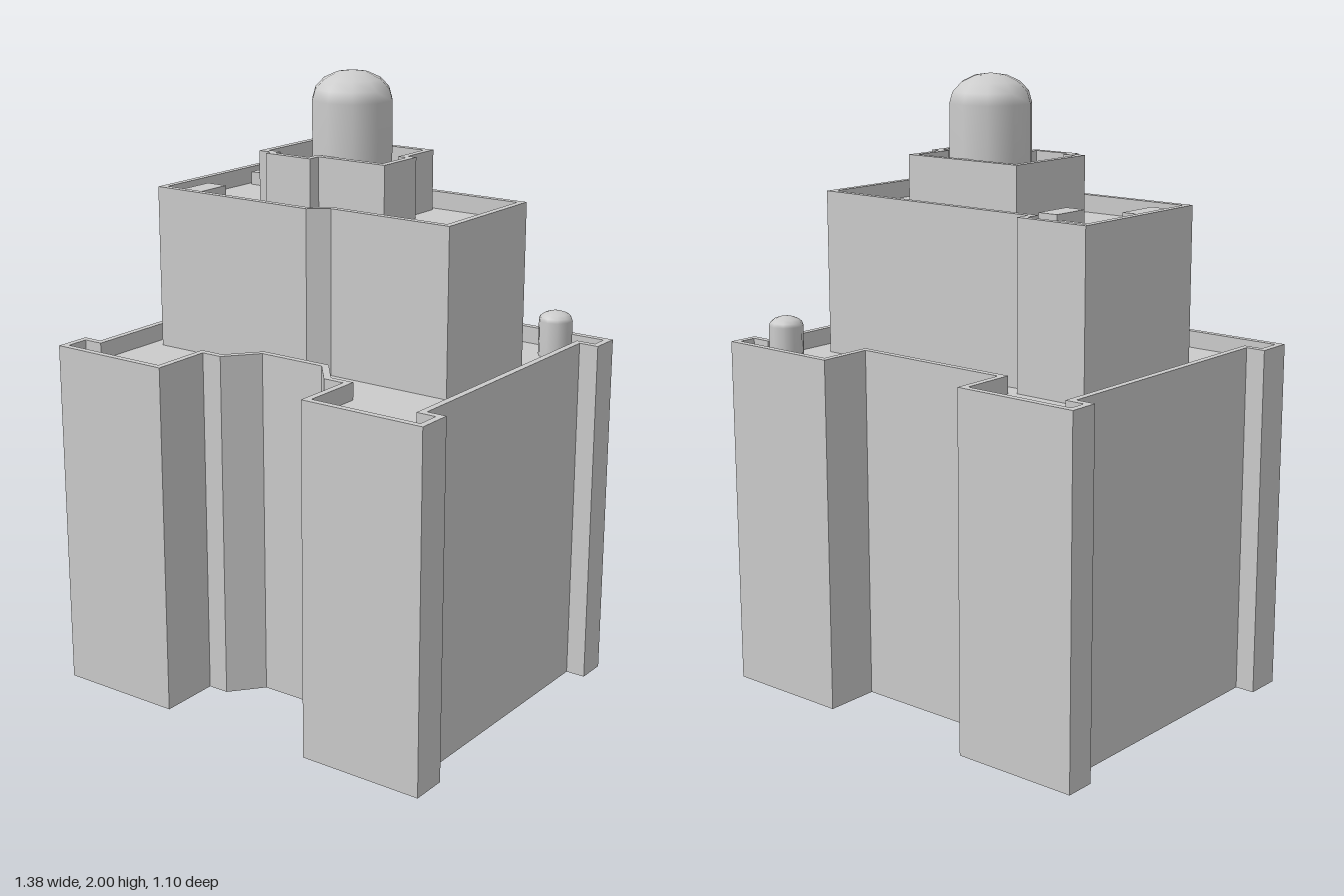
import * as THREE from 'three';

const grey = new THREE.MeshStandardMaterial({ color: 0xcccccc, side: THREE.DoubleSide });
const LIP = 0.022;      // parapet width
const RECESS = 0.055;   // roof depth below the parapet

function add(parent, name, geometry, x = 0, y = 0, z = 0) {
  const mesh = new THREE.Mesh(geometry, grey);
  mesh.name = name;
  mesh.position.set(x, y, z);
  parent.add(mesh);
  return mesh;
}

// Moves a clockwise (seen from above) plan inwards with mitred corners
function inset(plan, d) {
  const n = plan.length;
  const normal = (a, b) => {
    const dx = b[0] - a[0], dz = b[1] - a[1], l = Math.hypot(dx, dz);
    return [-dz / l, dx / l];
  };
  return plan.map((p, i) => {
    const u = normal(plan[(i + n - 1) % n], p);
    const v = normal(p, plan[(i + 1) % n]);
    const k = d / (1 + u[0] * v[0] + u[1] * v[1]);
    return [p[0] + (u[0] + v[0]) * k, p[1] + (u[1] + v[1]) * k];
  });
}

// Outer wall, parapet top and inner parapet face as one strip of loops
function wallGeometry(plan, bottom, top) {
  const inner = inset(plan, LIP);
  const loops = [[plan, bottom], [plan, top], [inner, top], [inner, top - RECESS]];
  const pos = [];
  for (let r = 0; r < loops.length - 1; r++) {
    for (let i = 0; i < plan.length; i++) {
      const j = (i + 1) % plan.length;
      const at = (k, m) => [loops[k][0][m][0], loops[k][1], loops[k][0][m][1]];
      const a0 = at(r, i), b0 = at(r, j), a1 = at(r + 1, i), b1 = at(r + 1, j);
      pos.push(...a0, ...a1, ...b0, ...b0, ...a1, ...b1);
    }
  }
  const g = new THREE.BufferGeometry();
  g.setAttribute('position', new THREE.Float32BufferAttribute(pos, 3));
  g.computeVertexNormals();
  return g;
}

function addTier(parent, name, plan, bottom, top) {
  const tier = new THREE.Group();
  tier.name = name;
  add(tier, name + 'Walls', wallGeometry(plan, bottom, top));
  const shape = new THREE.Shape(inset(plan, LIP).map(([x, z]) => new THREE.Vector2(x, -z)));
  add(tier, name + 'Roof', new THREE.ShapeGeometry(shape).rotateX(-Math.PI / 2), 0, top - RECESS, 0);
  parent.add(tier);
}

// Round post with a domed top
function domedPost(radius, bottom, top, domeHeight) {
  const pts = [new THREE.Vector2(radius, bottom)];
  for (let i = 0; i <= 4; i++) {
    const a = (i / 4) * Math.PI / 2;
    pts.push(new THREE.Vector2(radius * Math.cos(a), top - domeHeight * (1 - Math.sin(a))));
  }
  return new THREE.LatheGeometry(pts, 10);
}

export function createModel() {
  const model = new THREE.Group();
  model.name = 'steppedTower';

  // Main block: H-shaped plan with corner tabs, mirrored left to right
  const half = [
    [0.27, -0.37], [0.27, -0.55], [0.69, -0.55], [0.69, -0.45], [0.625, -0.45], [0.625, 0.425],
    [0.69, 0.425], [0.69, 0.545], [0.27, 0.545], [0.27, 0.34], [0.2, 0.34], [0.115, 0.237],
  ];
  const base = [...half, ...half.map(([x, z]) => [-x, z]).reverse()];
  addTier(model, 'baseBlock', base, 0, 1.145);

  // Middle block
  addTier(model, 'middleBlock', [
    [-0.56, -0.33], [-0.31, -0.33], [-0.31, -0.28], [0.515, -0.28],
    [0.515, 0.155], [0.09, 0.155], [0.03, 0.2], [-0.56, 0.2],
  ], 1.145 - RECESS, 1.615);

  // Top block
  addTier(model, 'topBlock', [
    [-0.23, -0.235], [0.2, -0.235], [0.2, -0.095], [0.23, -0.095], [0.23, 0.075],
    [-0.015, 0.075], [-0.015, 0.12], [-0.185, 0.12], [-0.185, 0.095], [-0.23, 0.095],
  ], 1.615 - RECESS, 1.75);

  // Domed tanks on the top and base roofs
  add(model, 'topDome', domedPost(0.13, 1.69, 2, 0.09), 0, 0, -0.08);
  add(model, 'cornerDome', domedPost(0.055, 1.09, 1.235, 0.03), 0.53, 0, -0.46);

  // Roof vents: x, z, width, depth
  const vents = [[-0.455, -0.262, 0.135, 0.07], [-0.28, -0.083, 0.07, 0.135], [-0.475, 0.085, 0.075, 0.148]];
  for (const [x, z, w, d] of vents) {
    add(model, 'roofVent', new THREE.BoxGeometry(w, 0.045, d), x, 1.58, z);
  }
  return model;
}
